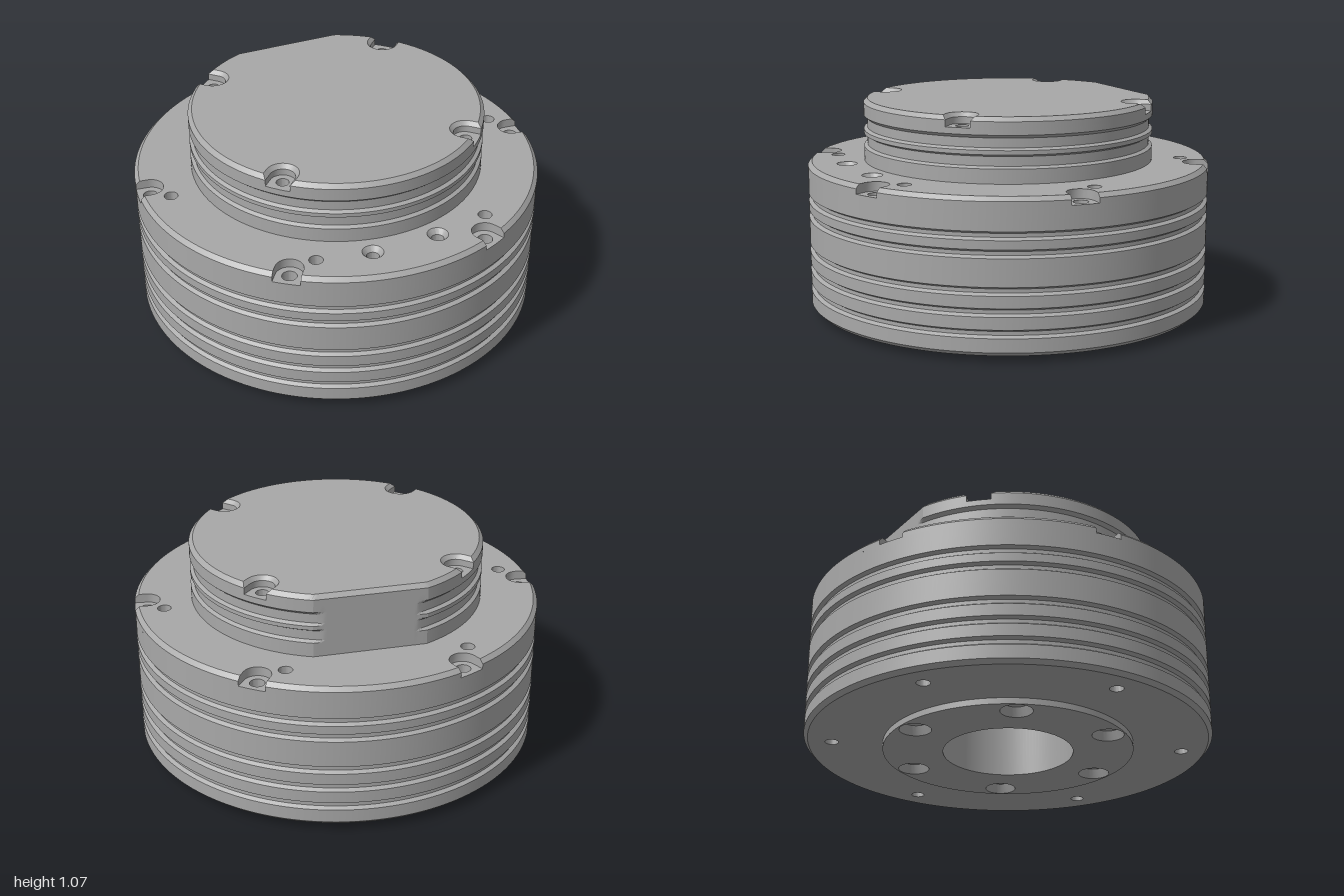
import * as THREE from 'three';
import { toCreasedNormals, mergeGeometries } from 'three/addons/utils/BufferGeometryUtils.js';

const RAD = Math.PI / 180;
const metal = new THREE.MeshStandardMaterial({ color: 0xa8a8a8 });
metal.name = 'machined grey metal';

const polar = (r, t) => new THREE.Vector2(r * Math.cos(t), r * Math.sin(t)); // (x, z)
const ringOfAngles = (n, startDeg) => Array.from({ length: n }, (_, i) => (startDeg + (i * 360) / n) * RAD);

// Rounded inner end of a pocket that opens outwards at angle t
function pocketEnd(t, centre, w) {
  const pts = [];
  for (let i = 0; i <= 16; i++) {
    const s = (i / 16 - 0.5) * Math.PI;
    pts.push(polar(centre - w * Math.cos(s), t).add(polar(w * Math.sin(s), t + Math.PI / 2)));
  }
  return pts;
}

// Closed outline of radius R, with optional rim pockets and an optional flat
function outline(R, { angles = [], centre = 0, w = 0, flat = null } = {}) {
  const rim = (t) => {
    const c = flat ? Math.cos(t - flat.angle) : 0;
    return polar(c > 0 ? Math.min(R, flat.dist / c) : R, t);
  };
  const pts = [];
  if (!angles.length) {
    for (let i = 0; i < 360; i++) pts.push(rim(i * RAD));
    return pts;
  }
  const a = Math.asin(w / R), step = (2 * Math.PI) / angles.length;
  const n = Math.round(360 / angles.length);
  for (const t of angles) {
    pts.push(...pocketEnd(t, centre, w));
    for (let i = 0; i <= n; i++) pts.push(rim(t + a + ((step - 2 * a) * i) / n));
  }
  return pts;
}

// Side wall through outlines stacked from bottom to top: [[y, points], ...]
function wall(layers) {
  const pos = [], idx = [], n = layers[0][1].length;
  for (const [y, pts] of layers) for (const p of pts) pos.push(p.x, y, p.y);
  for (let k = 0; k < layers.length - 1; k++) {
    for (let i = 0; i < n; i++) {
      const j = (i + 1) % n, a = k * n + i, b = k * n + j;
      idx.push(a, a + n, b, b, a + n, b + n);
    }
  }
  const g = new THREE.BufferGeometry();
  g.setAttribute('position', new THREE.Float32BufferAttribute(pos, 3));
  g.setIndex(idx);
  return toCreasedNormals(g, 0.3);
}

// Flat horizontal face; holes are [x, z, radius]
function face(pts, y, up = true, holes = []) {
  const s = up ? -1 : 1;
  const shape = new THREE.Shape(pts.map((p) => new THREE.Vector2(p.x, s * p.y)));
  for (const [x, z, r] of holes) {
    shape.holes.push(new THREE.Path().absarc(x, s * z, r, 0, Math.PI * 2, true));
  }
  const g = new THREE.ShapeGeometry(shape, 24).rotateX((s * Math.PI) / 2).translate(0, y, 0);
  return g.deleteAttribute('uv').toNonIndexed();
}

// Turned hole lining; a profile running downwards faces inwards
function bore(x, z, profile, seg = 48) {
  const g = new THREE.LatheGeometry(profile.map(([r, y]) => new THREE.Vector2(r, y)), seg);
  return toCreasedNormals(g.deleteAttribute('uv'), 0.3).translate(x, 0, z);
}

// Pocket floor with a screw hole in it
function pocketFloor(t, centre, w, R, y, r) {
  const a = Math.asin(w / R), pts = pocketEnd(t, centre, w);
  for (let i = 0; i <= 12; i++) pts.push(polar(R, t + a - (2 * a * i) / 12));
  const c = polar(centre, t);
  return [face(pts, y, true, [[c.x, c.y, r]]), bore(c.x, c.y, [[r, y], [r, y - 0.1], [0, y - 0.1]])];
}

export function createModel() {
  const model = new THREE.Group();
  const add = (name, parts) => {
    const mesh = new THREE.Mesh(mergeGeometries(parts), metal);
    mesh.name = name;
    model.add(mesh);
  };
  const spots = (angles, r, size) => angles.map((t) => [r * Math.cos(t), r * Math.sin(t), size]);

  const boltHoles = spots(ringOfAngles(6, 2), 0.863, 0.033);
  const ports = [[-0.2, 0.79, 0.05], [0.13, 0.8, 0.05]];
  const counterbores = spots(ringOfAngles(6, 32), 0.53, 0.077);

  // Drum side with five grooves
  const drumProfile = [[0.03, 0.98], [0.05, 1]];
  for (const y of [0.136, 0.235, 0.332, 0.503, 0.585]) {
    drumProfile.push([y - 0.02, 1], [y - 0.009, 0.982], [y + 0.009, 0.982], [y + 0.02, 1]);
  }
  drumProfile.push([0.715, 1]);
  add('drumSide', [wall(drumProfile.map(([y, r]) => [y, outline(r)]))]);

  // Drum rim with six open screw pockets
  const rim = { angles: ringOfAngles(6, 8.8), centre: 0.94, w: 0.066 };
  add('drumRim', [wall([[0.715, 1], [0.74, 1], [0.76, 0.98]].map(([y, r]) => [y, outline(r, rim)]))]);
  add('drumTop', [face(outline(0.98, rim), 0.76, true, [...boltHoles, ...ports])]);
  add('rimPockets', rim.angles.flatMap((t) => pocketFloor(t, rim.centre, rim.w, 1, 0.715, 0.035)));

  // Underside, through holes and countersunk ports
  add('drumUnderside', [face(outline(0.98), 0.03, false, [[0, 0, 0.615], ...boltHoles])]);
  add('boltHoles', boltHoles.map(([x, z, r]) => bore(x, z, [[r, 0.76], [r, 0.03]])));
  add('ports', ports.map(([x, z, r]) =>
    bore(x, z, [[r, 0.76], [0.03, 0.735], [0.03, 0.65], [0, 0.65]])));

  // Raised mounting plate with counterbores and the central bore
  add('mountingPlate', [
    wall([[0, outline(0.615)], [0.03, outline(0.615)]]),
    face(outline(0.615), 0, false, [[0, 0, 0.32], ...counterbores]),
  ]);
  add('counterbores', counterbores.map(([x, z, r]) =>
    bore(x, z, [[0, 0.2], [0.032, 0.2], [0.032, 0.06], [0.06, 0.045], [r, 0]])));
  add('centralBore', [bore(0, 0, [[0, 0.9], [0.32, 0.9], [0.32, 0]], 120)]);

  // Hub with two wide grooves and a flat at the back
  const flat = { angle: -87 * RAD, dist: 0.668 };
  const hubProfile = [
    [0.76, 0.72], [0.83, 0.72], [0.84, 0.703], [0.885, 0.703], [0.895, 0.72],
    [0.915, 0.72], [0.925, 0.703], [0.97, 0.703], [0.985, 0.72], [1.015, 0.72],
  ];
  add('hubSide', [wall(hubProfile.map(([y, r]) => [y, outline(r, { flat })]))]);

  // Hub rim with four chamfered screw pockets
  const angles = ringOfAngles(4, 47.5), centre = 0.66;
  const hubOutline = (r, w, dist) =>
    outline(r, { angles, centre, w, flat: { angle: flat.angle, dist } });
  const hubTop = hubOutline(0.7, 0.078, 0.648);
  add('hubRim', [wall([
    [1.015, hubOutline(0.72, 0.06, 0.668)], [1.047, hubOutline(0.72, 0.06, 0.668)], [1.067, hubTop],
  ])]);
  add('hubTop', [face(hubTop, 1.067)]);
  add('hubPockets', angles.flatMap((t) => pocketFloor(t, centre, 0.06, 0.72, 1.015, 0.03)));

  return model;
}
